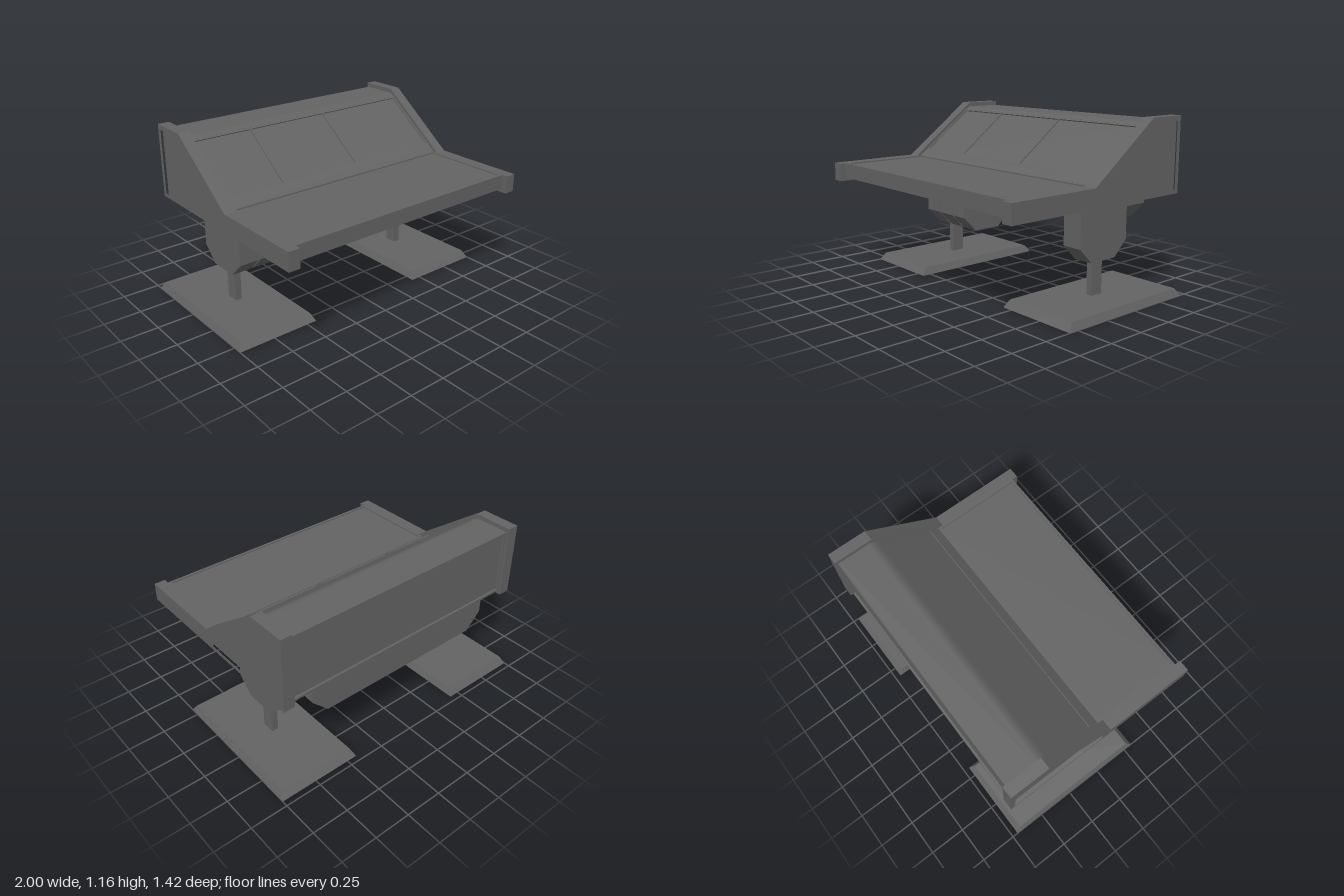
import * as THREE from 'three';
import { toCreasedNormals } from 'three/addons/utils/BufferGeometryUtils.js';

export function createModel() {
  const group = new THREE.Group();
  const mat = new THREE.MeshStandardMaterial({ color: 0x636363 });
  const shellMat = new THREE.MeshStandardMaterial({ color: 0x636363, side: THREE.DoubleSide });

  const add = (name, geometry, material = mat) => {
    const mesh = new THREE.Mesh(geometry, material);
    mesh.name = name;
    group.add(mesh);
    return mesh;
  };
  const extrude = (shape, depth) =>
    new THREE.ExtrudeGeometry(shape, { depth, bevelEnabled: false });

  // Side outline of [z, y] points, extruded from x0 to x1
  const toVectors = (points) => points.map(([z, y]) => new THREE.Vector2(-z, y));
  const profile = (name, points, x0, x1, hole) => {
    const shape = new THREE.Shape(toVectors(points));
    if (hole) shape.holes.push(new THREE.Path(toVectors(hole)));
    const g = extrude(shape, x1 - x0).rotateY(Math.PI / 2).translate(x0, 0, 0);
    return add(name, toCreasedNormals(g, 0.3));
  };

  // Flat rim with rectangular openings given as [u0, u1, v0, v1]
  const rectangle = (u0, u1, v0, v1) =>
    [[u0, v0], [u1, v0], [u1, v1], [u0, v1]].map(([u, v]) => new THREE.Vector2(u, v));
  const rim = (name, width, height, depth, openings) => {
    const shape = new THREE.Shape(rectangle(0, width, 0, height));
    shape.holes = openings.map((o) => new THREE.Path(rectangle(...o)));
    return add(name, extrude(shape, depth));
  };

  // Console body: desk floor, sloping face, rounded shoulder, flat top
  const left = 0.873, right = -0.833, width = left - right;
  const shoulder = new THREE.QuadraticBezierCurve(
    new THREE.Vector2(-0.4, 1.113), new THREE.Vector2(-0.4275, 1.133), new THREE.Vector2(-0.455, 1.133),
  ).getPoints(6).map((p) => [p.x, p.y]);
  profile('consoleBody', [
    [0.67, 0.69], [0.67, 0.782], [0.0333, 0.782], [-0.4048, 1.1062], ...shoulder,
    [-0.47, 1.133], [-0.665, 1.133], [-0.665, 0.69],
  ], right, left);

  // Rim around the sunken desk
  const desk = rim('deskRim', width, 0.634, 0.008, [[0.018, width - 0.018, 0.018, 0.618]]);
  desk.rotation.x = -Math.PI / 2;
  desk.position.set(right, 0.782, 0.67);

  // Rim around three sunken control panels on the sloping face
  const face = rim('controlPanelRim', width, 0.5424, 0.008,
    [[-0.82, -0.413], [-0.403, 0.183], [0.193, 0.86]]
      .map(([x0, x1]) => [x0 - right, x1 - right, 0.081, 0.529]));
  face.rotation.x = Math.atan(0.74) - Math.PI / 2;
  face.position.set(right, 0.7836, 0.0312);

  // Rim around the sunken back panel
  const back = rim('backRim', width, 0.443, 0.015, [[0.015, width - 0.015, 0.015, 0.425]]);
  back.rotation.y = Math.PI;
  back.position.set(left, 0.69, -0.665);

  // Side panels: a plate with a frame that leaves a pocket on the outer face
  const outline = [
    [0.71, 0.668], [0.71, 0.79], [0.073, 0.79], [-0.43, 1.162], [-0.698, 1.162], [-0.698, 0.668],
  ];
  const pocket = [
    [0.01, 0.695], [0.01, 0.805], [-0.435, 1.13], [-0.667, 1.13], [-0.667, 0.695],
  ];
  const depth = 0.03;
  profile('leftSidePanel', outline, left, 0.948 - depth);
  profile('leftSideFrame', outline, 0.948 - depth, 0.948, pocket);
  profile('rightSidePanel', outline, -0.91 + depth, right);
  profile('rightSideFrame', outline, -0.91, -0.91 + depth, pocket);

  // Housings under the body, one on the left and three on the right
  for (const [x0, x1] of [[0.642, 0.782], [-0.785, -0.647], [-0.633, -0.493], [-0.48, -0.343]]) {
    profile('underHousing', [
      [0.01, 0.69], [0.01, 0.385], [-0.092, 0.282], [-0.302, 0.282], [-0.408, 0.385], [-0.408, 0.69],
    ], x0, x1);
  }

  // Rear trough with chamfered lower ends
  const trough = new THREE.Shape([
    [-0.69, 0.69], [-0.69, 0.577], [-0.58, 0.467], [0.61, 0.467], [0.72, 0.577], [0.72, 0.69],
  ].map(([x, y]) => new THREE.Vector2(x, y)));
  add('rearTrough', extrude(trough, 0.21).translate(0, 0, -0.657));

  // Posts and bevelled foot plates, hollow underneath
  for (const side of [-1, 1]) {
    const post = new THREE.BoxGeometry(0.045, 0.25, 0.088);
    add('post', post.translate(side * 0.712, 0.165, -0.197));

    const plate = new THREE.BoxGeometry(0.57, 0.05, 1.025);
    const p = plate.attributes.position;
    for (let i = 0; i < p.count; i++) {
      if (p.getY(i) > 0) {
        p.setX(i, p.getX(i) - Math.sign(p.getX(i)) * 0.023);
        p.setZ(i, p.getZ(i) - Math.sign(p.getZ(i)) * 0.037);
      }
    }
    // Leave out the bottom face
    plate.setIndex([...plate.index.array].filter((_, i) => i < 18 || i >= 24));
    plate.clearGroups();
    plate.computeVertexNormals();
    add('footPlate', plate.translate(side * 0.715, 0.025, -0.198), shellMat);
  }

  return group;
}
